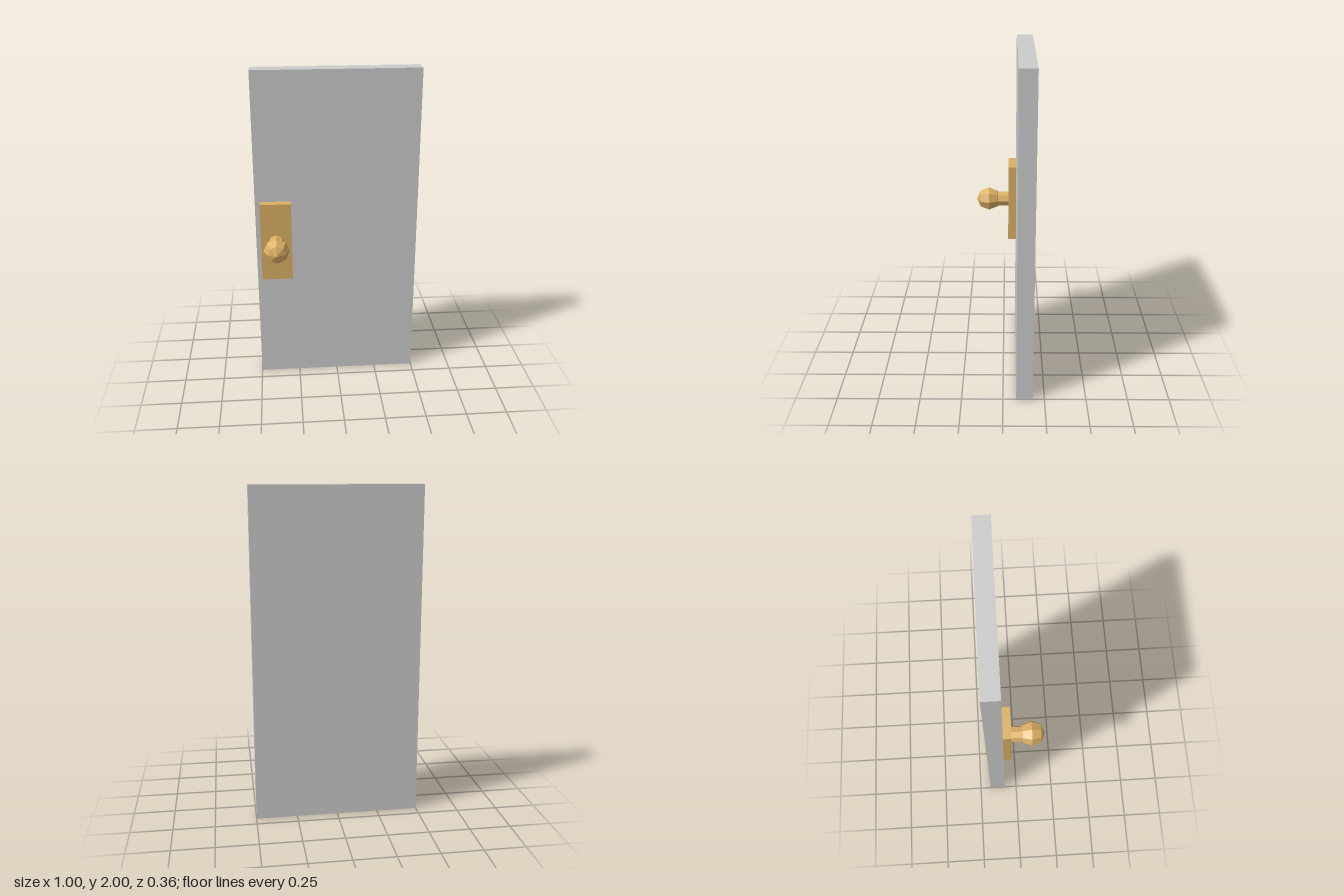
import * as THREE from 'three';

export function createModel() {
  const model = new THREE.Group();
  const grey = new THREE.MeshStandardMaterial({ color: 0xcccccc, flatShading: true });
  const brass = new THREE.MeshStandardMaterial({ color: 0xdcb064, flatShading: true });

  const add = (parent, name, geometry, material, x, y, z) => {
    const mesh = new THREE.Mesh(geometry, material);
    mesh.name = name;
    mesh.position.set(x, y, z);
    parent.add(mesh);
  };

  // Door slab
  add(model, 'doorPanel', new THREE.BoxGeometry(1, 2, 0.1), grey, 0, 1, -0.13);

  // Handle: backing plate, eight-sided stem and faceted knob, all pointing forward
  const handle = new THREE.Group();
  handle.name = 'handle';
  handle.position.set(-0.376, 0.953, 0);
  model.add(handle);

  add(handle, 'backPlate', new THREE.BoxGeometry(0.19, 0.5, 0.05), brass, 0, 0, -0.055);
  add(handle, 'stem', new THREE.CylinderGeometry(0.049, 0.049, 0.1, 8).rotateX(Math.PI / 2), brass, 0, 0, 0.005);
  add(handle, 'knob', new THREE.SphereGeometry(0.079, 8, 4).rotateX(Math.PI / 2), brass, 0, 0, 0.097);

  return model;
}
